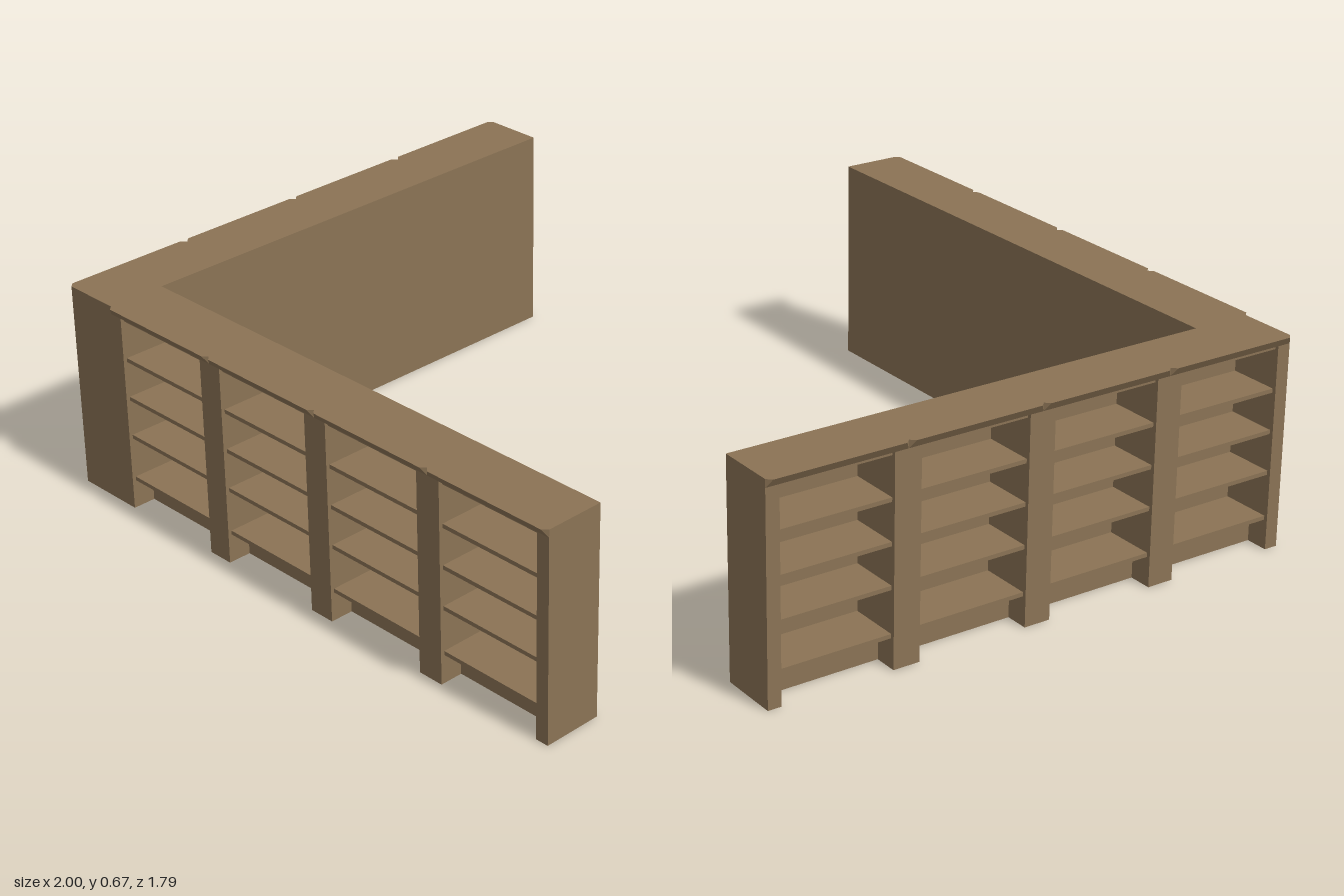
import * as THREE from 'three';
import { ConvexGeometry } from 'three/addons/geometries/ConvexGeometry.js';

const wood = new THREE.MeshStandardMaterial({ color: 0x8b7355 });
wood.name = 'brown wood';

const H = 0.67, LID = 0.645, DEPTH = 0.19, FLARE = 0.015, BAYS = 4, POST = 0.086;
const SHELF_TOPS = [0.105, 0.25, 0.38, 0.51, 0.645];

// Box given by its minimum and maximum corners
function box(parent, name, x0, x1, y0, y1, z0, z1) {
  const mesh = new THREE.Mesh(new THREE.BoxGeometry(x1 - x0, y1 - y0, z1 - z0), wood);
  mesh.position.set((x0 + x1) / 2, (y0 + y1) / 2, (z0 + z1) / 2);
  mesh.name = name;
  parent.add(mesh);
}

// Moulding that flares out towards the top and has mitred ends
function cornice(parent, a, b) {
  const p = (x, y, z) => new THREE.Vector3(x, y, z);
  const mesh = new THREE.Mesh(new ConvexGeometry([
    p(a, LID, 0), p(b, LID, 0), p(a, H, 0), p(b, H, 0),
    p(a + FLARE, H, FLARE), p(b - FLARE, H, FLARE),
  ]), wood);
  mesh.name = 'cornice';
  parent.add(mesh);
}

// Row of bookcase bays: x from 0 to length, fronts on z = 0, facing +z
function createWing(name, length) {
  const wing = new THREE.Group();
  wing.name = name;
  const pitch = length / BAYS;
  box(wing, 'lid', 0, length, LID, H, -DEPTH, 0);
  box(wing, 'backPanel', 0, length, 0, LID, -DEPTH, -DEPTH + 0.015);

  // Uprights, half as wide at both ends
  for (let i = 0; i <= BAYS; i++) {
    const x0 = Math.max(0, i * pitch - POST / 2);
    const x1 = Math.min(length, i * pitch + POST / 2);
    box(wing, 'upright', x0, x1, 0, LID, -DEPTH, 0);
  }

  // Shelves, recessed kick board and cornice of each bay
  for (let i = 0; i < BAYS; i++) {
    const a = i * pitch + POST / 2, b = (i + 1) * pitch - POST / 2;
    for (const y of SHELF_TOPS) {
      box(wing, 'shelf', a, b, y - 0.013, y, -DEPTH + 0.015, -0.012);
    }
    box(wing, 'kickBoard', a, b, 0, SHELF_TOPS[0] - 0.013, -0.09, -0.075);
    cornice(wing, i * pitch, (i + 1) * pitch);
  }
  return wing;
}

export function createModel() {
  const model = new THREE.Group();
  model.name = 'cornerBookcase';

  const front = createWing('frontWing', 1.795);
  front.position.set(-0.795, 0, 0.88);

  const side = createWing('sideWing', 1.777);
  side.rotation.y = -Math.PI / 2;
  side.position.set(-0.985, 0, -0.897);

  model.add(front, side);
  return model;
}
